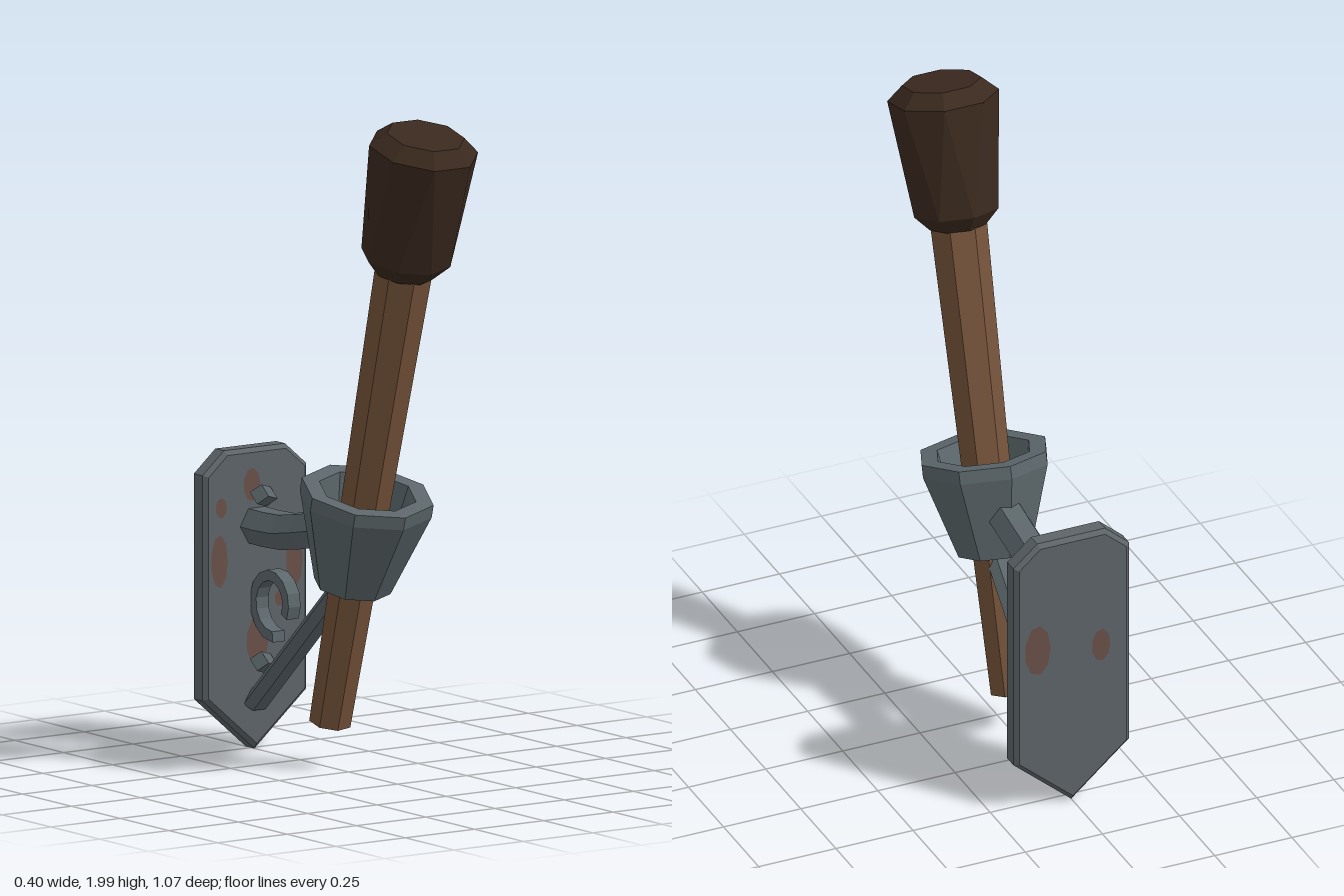
import * as THREE from 'three';
import { ConvexGeometry } from 'three/addons/geometries/ConvexGeometry.js';

const mat = (name, color) => {
  const m = new THREE.MeshStandardMaterial({ color });
  m.name = name;
  return m;
};

// Faceted copy of a geometry, one normal per face
function facet(geo) {
  const g = geo.index ? geo.toNonIndexed() : geo;
  g.computeVertexNormals();
  return g;
}

export function createModel() {
  const wood = mat('wood', 0x75533a);
  const char = mat('charred wrap', 0x3a291e);
  const iron = mat('iron', 0x5c676b);
  const plateIron = mat('plate iron', 0x5d6468);
  const rust = mat('rust', 0x694f48);

  const model = new THREE.Group();
  model.name = 'wallTorch';
  const add = (name, geo, material, parent = model) => {
    const mesh = new THREE.Mesh(facet(geo), material);
    mesh.name = name;
    parent.add(mesh);
    return mesh;
  };

  // Torch and cup share one axis, leaning forward
  const torch = new THREE.Group();
  torch.name = 'torch';
  torch.position.set(0, 0.14, -0.095);
  torch.rotation.x = THREE.MathUtils.degToRad(15);
  model.add(torch);

  const shaft = new THREE.CylinderGeometry(0.088, 0.063, 1.5, 7);
  shaft.rotateY(Math.PI / 2).translate(0, 0.75, 0);
  add('shaft', shaft, wood, torch);

  // Wrapped head: octagonal rings [radius, height, turn], lower ones turned half a side
  const points = [];
  for (const [r, y, turn] of [[0.09, 1.45, 0], [0.135, 1.5, 0], [0.166, 1.85, 0.5], [0.118, 1.893, 0.5]]) {
    for (let i = 0; i < 8; i++) {
      const a = (i + turn) * Math.PI / 4;
      points.push(new THREE.Vector3(r * Math.sin(a), y, r * Math.cos(a)));
    }
  }
  add('head', new ConvexGeometry(points), char, torch);

  // Open octagonal cup with wall thickness
  const cupProfile = [[0.088, 0.44], [0.116, 0.44], [0.2, 0.705], [0.2, 0.745], [0.147, 0.745], [0.088, 0.44]]
    .map(([x, y]) => new THREE.Vector2(x, y));
  add('cup', new THREE.LatheGeometry(cupProfile, 8), iron, torch);

  // Wall plate with cut top corners and a pointed foot
  const b = 0.013;
  const outline = [[0, 0.022], [0.174, 0.172], [0.174, 0.835], [0.105, 0.895],
    [-0.105, 0.895], [-0.174, 0.835], [-0.174, 0.172]].map(([x, y]) => new THREE.Vector2(x, y));
  const plate = new THREE.ExtrudeGeometry(new THREE.Shape(outline), {
    depth: 0.07 - 2 * b, bevelEnabled: true, bevelThickness: b, bevelSize: b, bevelSegments: 1,
  });
  plate.translate(0, 0, -0.54 + b);
  add('wallPlate', plate, plateIron);

  // Rust patches: [x, y, half width, half height, on back]
  for (const [x, y, w, h, back] of [
    [0.133, 0.56, 0.03, 0.085], [-0.137, 0.58, 0.03, 0.08], [0.08, 0.45, 0.018, 0.025],
    [-0.02, 0.8, 0.03, 0.05], [0, 0.33, 0.04, 0.075], [-0.13, 0.74, 0.02, 0.03],
    [0.115, 0.55, 0.042, 0.085, true], [-0.09, 0.52, 0.03, 0.055, true],
  ]) {
    const patch = new THREE.CircleGeometry(1, 9);
    patch.scale(w, h, 1);
    if (back) patch.rotateY(Math.PI);
    patch.translate(x, y, back ? -0.543 : -0.467);
    add('rustPatch', patch, rust);
  }

  // Upper arm, bending up into the cup
  const armPath = new THREE.CatmullRomCurve3([
    [0, 0.728, -0.06], [0, 0.695, -0.22], [0, 0.677, -0.34], [0, 0.677, -0.49],
  ].map((p) => new THREE.Vector3(...p)));
  add('arm', new THREE.TubeGeometry(armPath, 5, 0.06, 6), iron);

  // Diagonal strut from the cup to the foot of the plate
  const from = new THREE.Vector3(0, 0.555, -0.03);
  const to = new THREE.Vector3(0, 0.143, -0.475);
  const strutGeo = new THREE.CylinderGeometry(0.03, 0.03, from.distanceTo(to), 6);
  strutGeo.rotateY(Math.PI / 2).scale(1.5, 1, 1);
  const strut = add('strut', strutGeo, iron);
  strut.position.copy(from).add(to).multiplyScalar(0.5);
  strut.quaternion.setFromUnitVectors(new THREE.Vector3(0, 1, 0), from.clone().sub(to).normalize());

  // Scroll ornament: a flat opening spiral
  const outer = [];
  const inner = [];
  for (let i = 0; i <= 12; i++) {
    const t = i / 12;
    const a = THREE.MathUtils.degToRad(205 - 300 * t);
    const r = 0.073 + 0.027 * t;
    const at = (rad) => new THREE.Vector2(0.368 + rad * Math.cos(a), 0.458 + rad * Math.sin(a));
    outer.push(at(r + 0.016));
    inner.unshift(at(r - 0.016));
  }
  const scroll = new THREE.ExtrudeGeometry(new THREE.Shape([...outer, ...inner]), {
    depth: 0.044, bevelEnabled: false,
  });
  scroll.translate(0, 0, -0.022).rotateY(Math.PI / 2);
  add('scroll', scroll, iron);

  // Bent nails in the plate
  for (const y of [0.77, 0.27]) {
    const nail = add('nail', new THREE.BoxGeometry(0.042, 0.042, 0.1), iron);
    nail.position.set(0, y, -0.435);
    nail.lookAt(-0.08, y + 0.025, -0.37);
    nail.rotateZ(Math.PI / 5);
  }

  return model;
}
